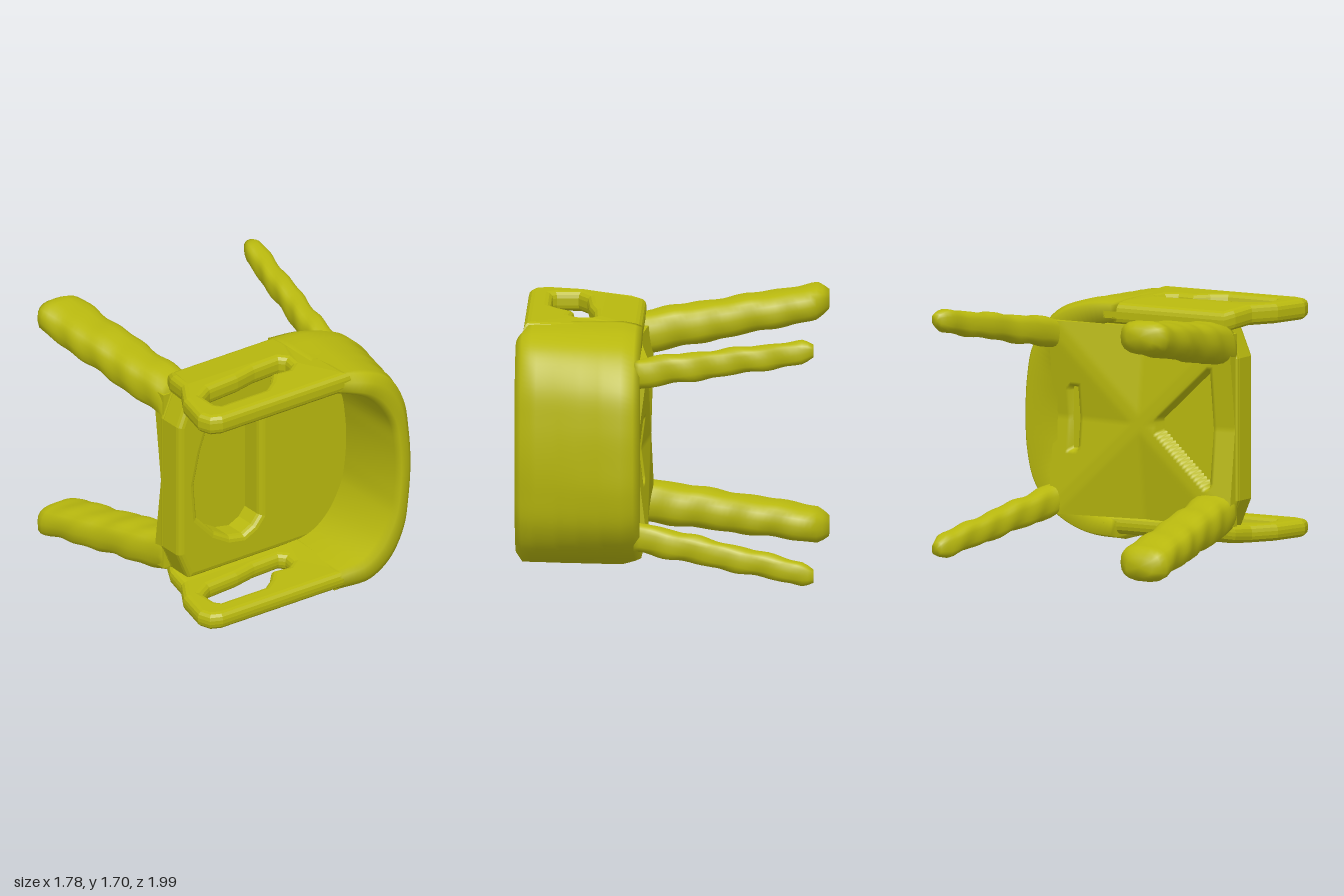
import * as THREE from 'three';

const MID = 0.885; // height of the mirror plane between the two arms
const material = new THREE.MeshStandardMaterial({ color: 0xb8b80e });

function add(group, name, geometry) {
  const mesh = new THREE.Mesh(geometry, material);
  mesh.name = name;
  group.add(mesh);
}

// Skin over closed rings of points, capped at both ends and wound outwards
function loft(rings) {
  const n = rings[0].length, pos = [], index = [];
  rings.forEach(r => r.forEach(p => pos.push(p.x, p.y, p.z)));
  for (let k = 0; k < rings.length - 1; k++) {
    for (let j = 0; j < n; j++) {
      const a = k * n + j, b = k * n + (j + 1) % n;
      index.push(a, b, a + n, b, b + n, a + n);
    }
  }
  [0, rings.length - 1].forEach((k, end) => {
    const c = new THREE.Vector3();
    rings[k].forEach(p => c.addScaledVector(p, 1 / n));
    const ci = pos.length / 3;
    pos.push(c.x, c.y, c.z);
    for (let j = 0; j < n; j++) {
      const a = k * n + j, b = k * n + (j + 1) % n;
      if (end) index.push(a, b, ci); else index.push(b, a, ci);
    }
  });
  const at = i => new THREE.Vector3().fromArray(pos, i * 3);
  let volume = 0;
  for (let i = 0; i < index.length; i += 3) {
    volume += at(index[i]).dot(at(index[i + 1]).cross(at(index[i + 2])));
  }
  if (volume < 0) index.reverse();
  const g = new THREE.BufferGeometry();
  g.setAttribute('position', new THREE.Float32BufferAttribute(pos, 3));
  g.setIndex(index);
  g.computeVertexNormals();
  return g;
}

// Mirror a geometry from the upper half to the lower half
function mirrorY(geometry) {
  const g = geometry.clone();
  g.translate(0, -MID, 0).scale(1, -1, 1).translate(0, MID, 0);
  if (!g.index) g.setIndex([...Array(g.attributes.position.count).keys()]);
  g.setIndex([...g.index.array].reverse());
  g.computeVertexNormals();
  return g;
}

// Lumpy leg between two ends, each [x, y, z, halfWidth, halfHeight]
function leg(from, to, lump) {
  const rings = [], steps = 32, sides = 18;
  for (let k = 0; k <= steps; k++) {
    const t = k / steps;
    const [x, y, z, w, h] = from.map((v, i) => THREE.MathUtils.lerp(v, to[i], t));
    const round = Math.sqrt(Math.max(0.3, 1 - Math.pow(Math.max(0, (t - 0.92) / 0.08), 2)));
    const ring = [];
    for (let j = 0; j < sides; j++) {
      const a = j / sides * Math.PI * 2;
      const c = Math.cos(a), s = Math.sin(a);
      const r = round * (1 + lump * Math.sin(t * 31 + 2 * a) + lump * Math.sin(t * 17 - a));
      ring.push(new THREE.Vector3(
        x + Math.sign(c) * Math.pow(Math.abs(c), 0.75) * w * r,
        y + Math.sign(s) * Math.pow(Math.abs(s), 0.75) * h * r, z));
    }
    rings.push(ring);
  }
  return loft(rings);
}

function curve(points) {
  return new THREE.CatmullRomCurve3(points.map(([x, y]) => new THREE.Vector3(x, y, 0)), false, 'centripetal');
}

// Bevelled slab standing between two depths, with optional holes
function plate(points, holes, z0, z1, bevel) {
  const shape = new THREE.Shape(points.map(p => new THREE.Vector2(...p)));
  holes.forEach(h => shape.holes.push(new THREE.Path(h.map(p => new THREE.Vector2(...p)))));
  const g = new THREE.ExtrudeGeometry(shape, {
    depth: z1 - z0 - 2 * bevel, bevelThickness: bevel, bevelSize: bevel,
    bevelOffset: -bevel, bevelSegments: 3,
  });
  return g.translate(0, 0, z0 + bevel);
}

// Move every vertex by a rule
function bend(geometry, rule) {
  const p = geometry.attributes.position, v = new THREE.Vector3();
  for (let i = 0; i < p.count; i++) {
    rule(v.fromBufferAttribute(p, i));
    p.setXYZ(i, v.x, v.y, v.z);
  }
  geometry.computeVertexNormals();
  return geometry;
}

// Arm panel with a handle opening, sloping inwards at the rear
function armPanel(bottom, top) {
  const g = plate(
    [[-0.66, 0.18], [0.25, 0.18], [0.25, 0.945], [-0.78, 0.945], [-0.86, 0.91], [-0.89, 0.82],
      [-0.83, 0.58], [-0.73, 0.42], [-0.7, 0.26]],
    [[[-0.7, 0.62], [-0.6, 0.56], [-0.36, 0.54], [-0.2, 0.505], [0, 0.495], [0.03, 0.53], [0.02, 0.6],
      [-0.04, 0.645], [-0.16, 0.63], [-0.24, 0.72], [-0.33, 0.785], [-0.68, 0.785], [-0.7, 0.76]]],
    0, top - bottom, 0.045);
  g.rotateX(Math.PI / 2).translate(0, top, 0);
  return bend(g, v => { v.y -= 0.2 * Math.max(0, 0.34 - v.z); });
}

export function createModel() {
  const group = new THREE.Group();
  group.name = 'chair';

  // Stepped, curved backrest wrapping round the +x side
  const rear = curve([[0.15, 1.67], [0.42, 1.65], [0.66, 1.56], [0.83, 1.35], [0.88, 1.12], [0.89, 0.885],
    [0.88, 0.65], [0.82, 0.42], [0.66, 0.23], [0.42, 0.12], [0.15, 0.1]]);
  const front = curve([[0.15, 1.67], [0.4, 1.63], [0.56, 1.54], [0.67, 1.35], [0.71, 1.12], [0.725, 0.885],
    [0.71, 0.65], [0.67, 0.42], [0.56, 0.23], [0.4, 0.13], [0.15, 0.1]]);
  const inner = curve([[0.15, 1.54], [0.34, 1.48], [0.46, 1.38], [0.56, 1.21], [0.59, 1.05], [0.6, 0.885],
    [0.59, 0.72], [0.56, 0.57], [0.46, 0.39], [0.34, 0.29], [0.15, 0.23]]);
  // [z, blend from rear outline to front outline, blend towards inner outline]
  const profile = [[0.18, 0, 0.22], [0.22, 0, 0.12], [0.3, 0, 0], [0.41, 0, 0], [0.45, 0.22, 0],
    [0.56, 0.27, 0], [0.6, 0.46, 0], [0.7, 0.5, 0], [0.74, 0.72, 0], [0.85, 0.76, 0],
    [0.89, 0.95, 0], [0.95, 1, 0], [0.99, 1, 0.35], [0.99, 1, 0.8], [0.95, 1, 1], [0.18, 1, 1]];
  const rings = [];
  for (let k = 0; k <= 60; k++) {
    const t = k / 60;
    const r = rear.getPoint(t), f = front.getPoint(t), i = inner.getPoint(t);
    const drop = 0.05 * (1 - THREE.MathUtils.smoothstep(i.x, 0.15, 0.36)); // lower rim beside the arms
    rings.push(profile.map(([z, toFront, toInner]) =>
      r.clone().lerp(f, toFront).lerp(i, toInner).setZ(z > 0.9 ? z - drop : z)));
  }
  add(group, 'backrest', loft(rings));

  // Arms, the lower one slimmer
  add(group, 'upperArm', armPanel(1.54, 1.675));
  add(group, 'lowerArm', mirrorY(armPanel(1.535, 1.65)));

  // Thick seat with a half-round recess and its floor
  const outline = [[-0.74, 0.42], [-0.66, 0.23], [0.4, 0.23], [0.66, 0.45], [0.66, 1.32], [0.4, 1.54],
    [-0.66, 1.54], [-0.74, 1.35]];
  const recess = [[-0.09, 0.52], [-0.14, 0.46], [-0.22, 0.42], [-0.33, 0.44], [-0.45, 0.51], [-0.59, 0.66],
    [-0.61, 0.9], [-0.56, 1.12], [-0.49, 1.32], [-0.37, 1.47], [-0.2, 1.47], [-0.11, 1.38], [-0.09, 1.25]];
  add(group, 'seat', plate(outline, [recess], 0.21, 0.42, 0.04));
  add(group, 'recessFloor', plate(outline, [], 0.21, 0.25, 0.015));

  // Underside with diagonal ridges, falling away between the legs, and a pocket on the -x side
  const underside = new THREE.BoxGeometry(1.36, 1.26, 0.1, 64, 64, 1).translate(-0.05, MID, 0.18);
  add(group, 'underside', bend(underside, p => {
    if (p.z > 0.2) return;
    const u = (p.x + 0.05) / 0.68, v = Math.abs(p.y - MID) / 0.63;
    p.z = 0.13 + 0.08 * Math.max(0, Math.abs(Math.abs(u) - v) - 0.08);
    const pocket = u < -0.2 && u > -0.78 && v < -u - 0.14;
    const slot = u > 0.7 && u < 0.8 && v < 0.32;
    if (pocket || slot) p.z = 0.22;
  }));

  // Two broad legs and two slim legs, splayed outwards
  const broadLeg = leg([-0.58, 1.435, 0.22, 0.155, 0.14], [-0.72, 1.635, -1, 0.185, 0.11], 0.03);
  const slimLeg = leg([0.61, 1.42, 0.22, 0.085, 0.1], [0.83, 1.63, -0.95, 0.07, 0.075], 0.05);
  add(group, 'upperBroadLeg', broadLeg);
  add(group, 'lowerBroadLeg', mirrorY(broadLeg));
  add(group, 'upperSlimLeg', slimLeg);
  add(group, 'lowerSlimLeg', mirrorY(slimLeg));

  return group;
}
